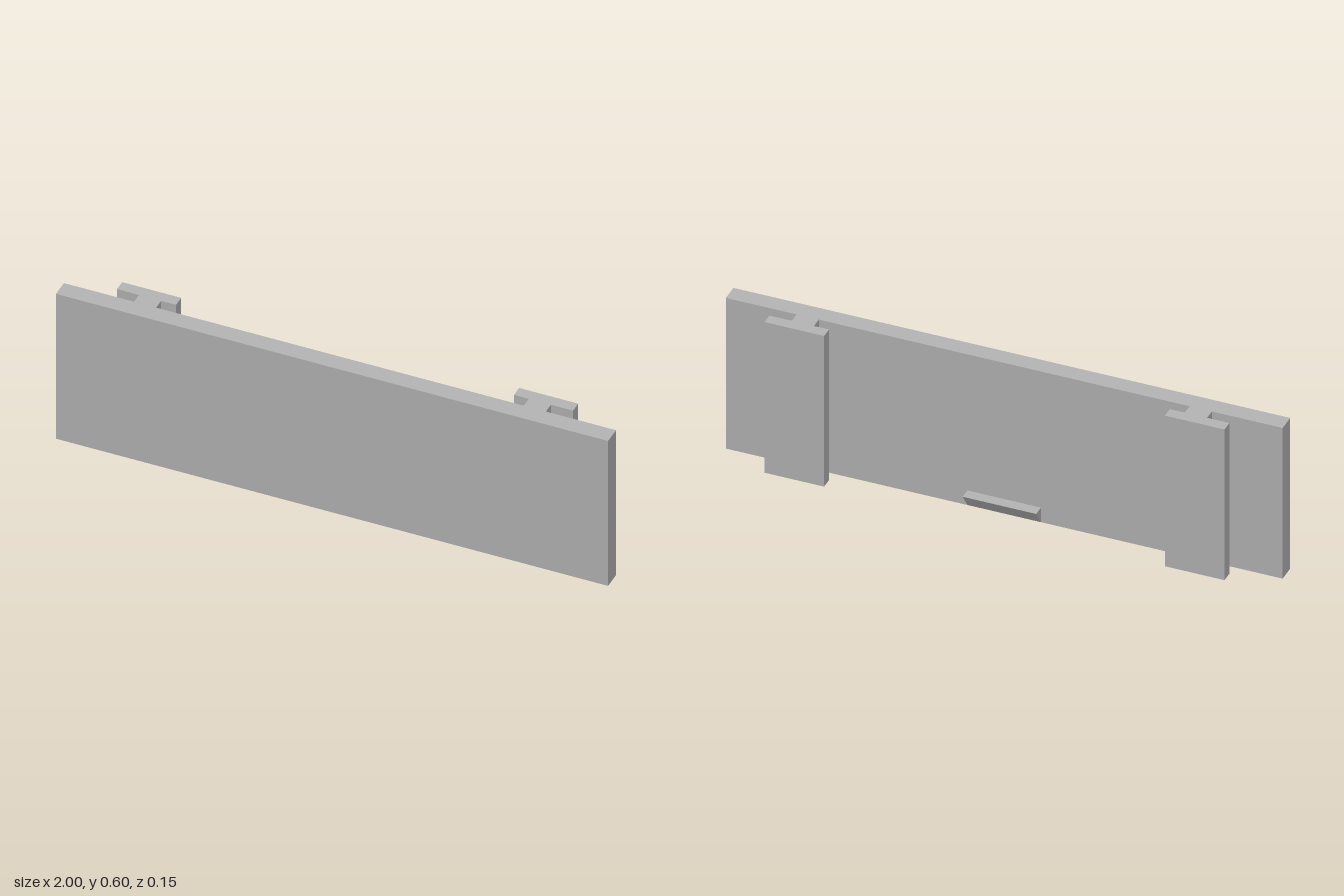
import * as THREE from 'three';

export function createModel() {
  const model = new THREE.Group();
  model.name = 'railPanel';
  const grey = new THREE.MeshStandardMaterial({ color: 0xb2b2b2 });
  grey.name = 'grey';

  const height = 0.6, front = 0.074, back = 0.009, step = -0.032, rear = -0.074;

  // Extrude a 2D outline into a named, sharp-edged part
  function extrude(name, points, depth) {
    const shape = new THREE.Shape(points.map(([x, y]) => new THREE.Vector2(x, y)));
    const geometry = new THREE.ExtrudeGeometry(shape, { depth, bevelEnabled: false });
    const mesh = new THREE.Mesh(geometry, grey);
    mesh.name = name;
    model.add(mesh);
    return mesh;
  }

  // Flat front panel
  const panel = new THREE.Mesh(new THREE.BoxGeometry(2, height, front - back), grey);
  panel.name = 'panel';
  panel.position.set(0, height / 2, (front + back) / 2);
  model.add(panel);

  // Upright T-section rails on the back, mirrored; outline is (x, -z)
  for (const side of [1, -1]) {
    const outline = [
      [0.666, -back], [0.746, -back], [0.746, -step], [0.826, -step],
      [0.826, -rear], [0.612, -rear], [0.612, -step], [0.666, -step],
    ].map(([x, y]) => [x * side, y]);
    const rail = extrude(side > 0 ? 'leftRail' : 'rightRail', outline, height);
    rail.rotation.x = -Math.PI / 2;
  }

  // Wedge-shaped catch at the bottom of the back; outline is (-z, y)
  const catchWidth = 0.264;
  const wedge = extrude('catchWedge', [[-back, 0], [-step, 0.058], [-back, 0.058]], catchWidth);
  wedge.rotation.y = Math.PI / 2;
  wedge.position.x = -catchWidth / 2;

  return model;
}
